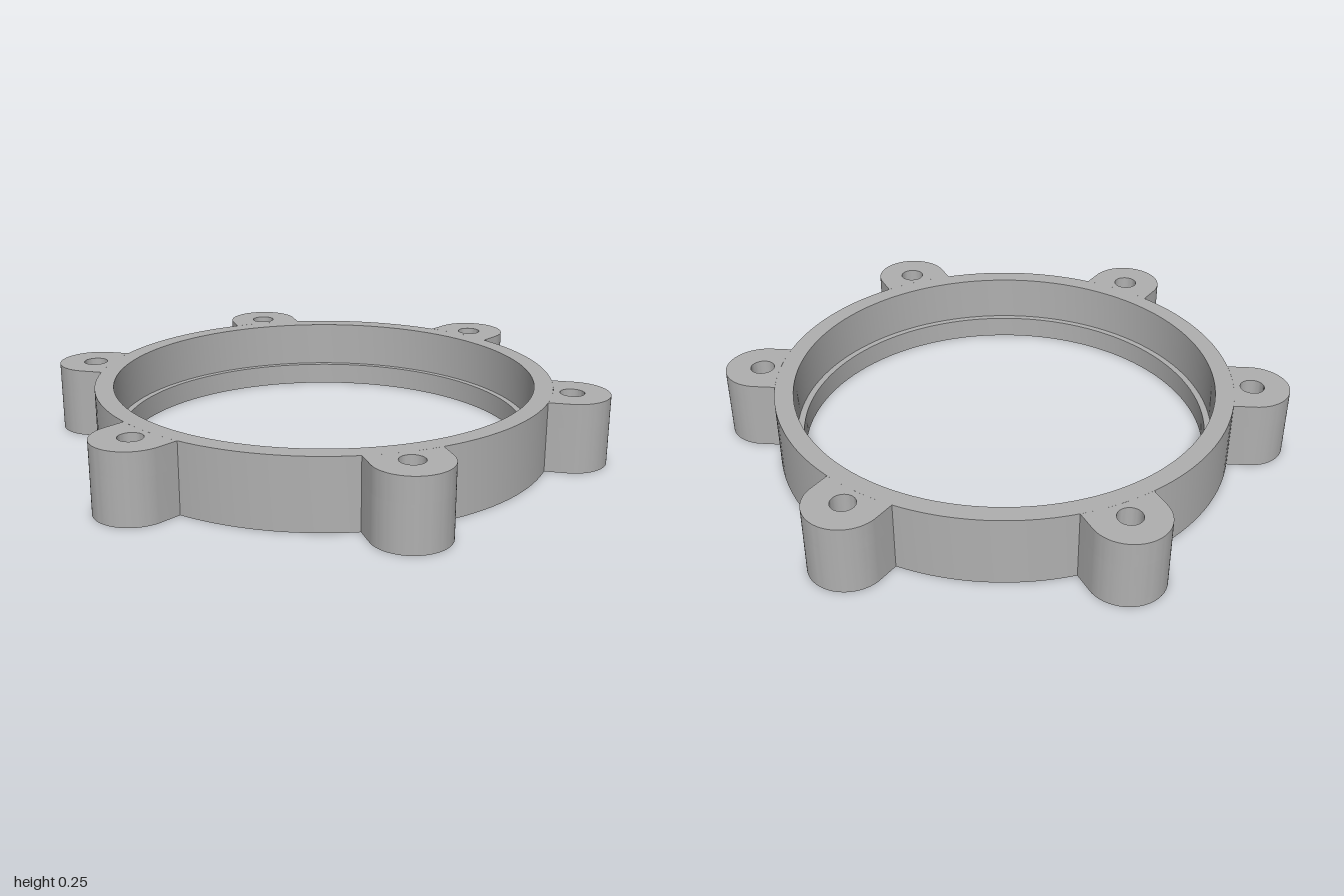
import * as THREE from 'three';
import { toCreasedNormals } from 'three/addons/utils/BufferGeometryUtils.js';

const HEIGHT = 0.245;
const RING_R = 0.805, BORE_R = 0.74, LIP_R = 0.717, LIP_TOP = 0.08;
const LUG_R = 0.13, LUG_CENTRE = 0.87;
const HOLE_R = 0.042, COUNTERBORE_R = 0.066, COUNTERBORE_TOP = 0.16;

// Lug outline: straight neck leaving the ring, rounded end, one screw hole
function lugShape(holeRadius) {
  const half = Math.asin(LUG_R / RING_R);
  const shape = new THREE.Shape();
  shape.moveTo(LUG_R, RING_R * Math.cos(half));
  shape.lineTo(LUG_R, LUG_CENTRE);
  shape.absarc(0, LUG_CENTRE, LUG_R, 0, Math.PI, false);
  shape.lineTo(-LUG_R, RING_R * Math.cos(half));
  shape.absarc(0, 0, RING_R, Math.PI / 2 + half, Math.PI / 2 - half, true);
  const hole = new THREE.Path();
  hole.absarc(0, LUG_CENTRE, holeRadius, 0, Math.PI * 2, true);
  shape.holes.push(hole);
  return shape;
}

// Horizontal slab of the lug between two heights
function lugSlab(holeRadius, y0, y1) {
  const geometry = new THREE.ExtrudeGeometry(lugShape(holeRadius), {
    depth: y1 - y0, bevelEnabled: false, curveSegments: 24,
  });
  geometry.rotateX(-Math.PI / 2).translate(0, y0, 0);
  return toCreasedNormals(geometry, 0.6);
}

export function createModel() {
  const model = new THREE.Group();
  model.name = 'mountingRing';
  const grey = new THREE.MeshStandardMaterial({ color: 0xb0b0b0 });
  grey.name = 'grey';

  // Ring body with a narrow inner lip at the bottom
  const profile = [
    [LIP_R, 0], [RING_R, 0], [RING_R, HEIGHT], [BORE_R, HEIGHT],
    [BORE_R, LIP_TOP], [LIP_R, LIP_TOP], [LIP_R, 0],
  ].map(([r, y]) => new THREE.Vector2(r, y));
  const ring = new THREE.Mesh(toCreasedNormals(new THREE.LatheGeometry(profile, 120), 0.6), grey);
  ring.name = 'ring';
  model.add(ring);

  // Six screw lugs, counterbored from below
  const lower = lugSlab(COUNTERBORE_R, 0, COUNTERBORE_TOP);
  const upper = lugSlab(HOLE_R, COUNTERBORE_TOP, HEIGHT);
  for (let i = 0; i < 6; i++) {
    const lug = new THREE.Group();
    lug.name = `lug${i + 1}`;
    const base = new THREE.Mesh(lower, grey);
    base.name = 'lugBase';
    const top = new THREE.Mesh(upper, grey);
    top.name = 'lugTop';
    lug.add(base, top);
    lug.rotation.y = (i * Math.PI) / 3;
    model.add(lug);
  }
  return model;
}
